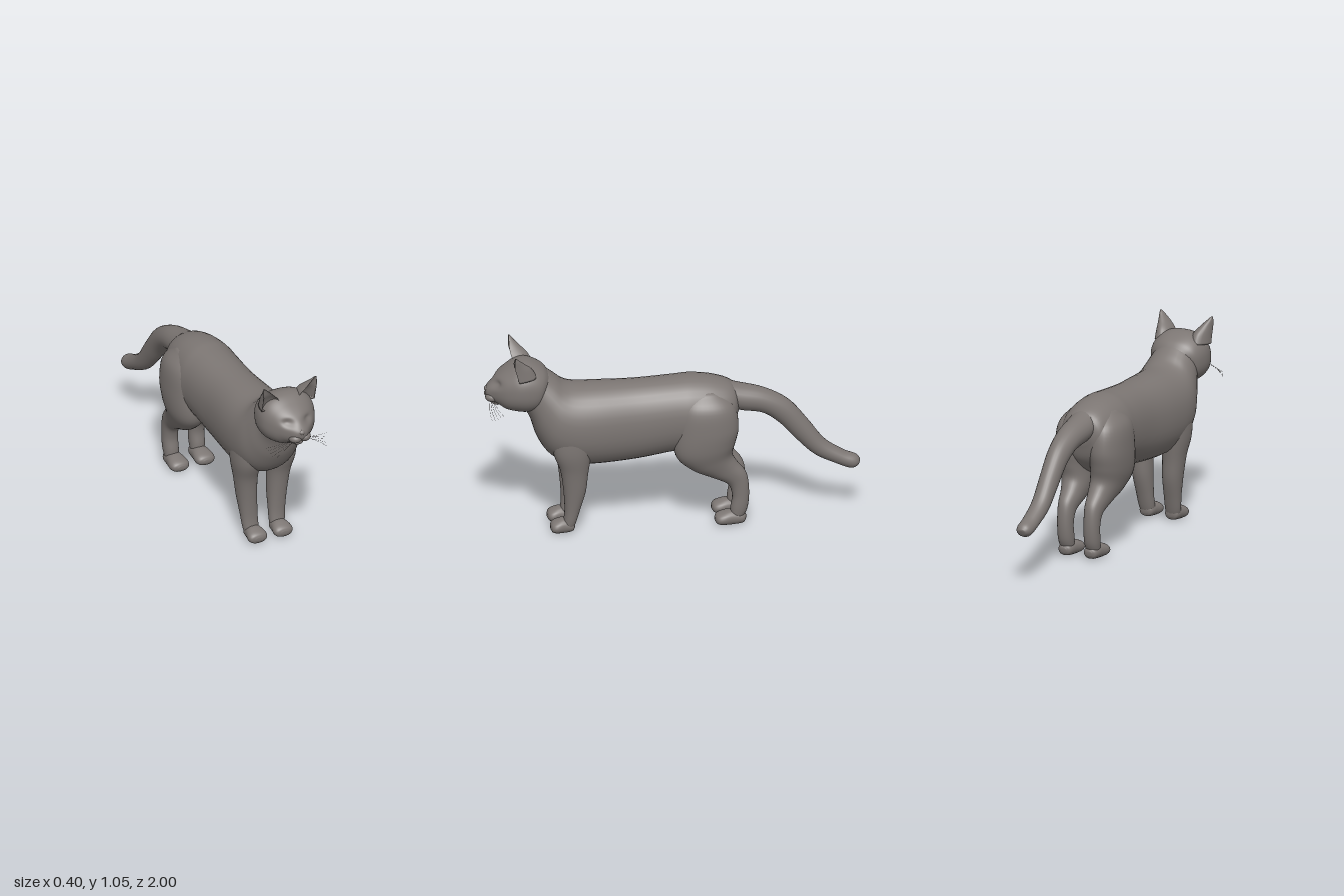
import * as THREE from 'three';

const fur = new THREE.MeshStandardMaterial({ color: 0x7c7673 });
fur.name = 'greyFur';

// Smooth skin through oval sections. Each section is
// [z1, y1, z2, y2, halfWidth, centreX]: two opposite outline points in side view.
function loft(name, sections, { side = 1, power = 0.92, hollow = 0, around = 36, steps = 6, warp } = {}) {
  const curve = (f) => new THREE.CatmullRomCurve3(sections.map(f), false, 'catmullrom', 0.5);
  const first = curve((s) => new THREE.Vector3(0, s[1], s[0]));
  const second = curve((s) => new THREE.Vector3(0, s[3], s[2]));
  const width = curve((s) => new THREE.Vector3(s[4], (s[5] || 0) * side, 0));
  const rows = (sections.length - 1) * steps;
  const bend = (v) => Math.sign(v) * Math.abs(v) ** power;
  const pos = [], index = [];
  const push = (v) => { if (warp) warp(v); pos.push(v.x, v.y, v.z); };
  for (let i = 0; i <= rows; i++) {
    const t = i / rows;
    const a = first.getPoint(t), b = second.getPoint(t), w = width.getPoint(t);
    const mid = a.clone().add(b).multiplyScalar(0.5);
    const half = a.sub(b).multiplyScalar(0.5);
    for (let j = 0; j < around; j++) {
      const q = (j / around) * Math.PI * 2;
      let s = bend(Math.sin(q));
      if (s < 0 && hollow) s *= -hollow;
      const p = mid.clone().addScaledVector(half, s);
      p.x = w.y + w.x * bend(Math.cos(q));
      push(p);
      if (i < rows) {
        const k = (j + 1) % around, r = i * around, n = r + around;
        index.push(r + j, r + k, n + j, r + k, n + k, n + j);
      }
    }
    if (i === 0 || i === rows) mid.x = w.y;
    if (i === 0) sections.start = mid;
    if (i === rows) sections.end = mid;
  }
  // End caps
  const c = (rows + 1) * around, last = rows * around;
  push(sections.start.clone());
  push(sections.end.clone());
  for (let j = 0; j < around; j++) {
    const k = (j + 1) % around;
    index.push(c, k, j, c + 1, last + j, last + k);
  }
  const g = new THREE.BufferGeometry();
  g.setAttribute('position', new THREE.Float32BufferAttribute(pos, 3));
  g.setIndex(index);
  g.computeVertexNormals();
  const mesh = new THREE.Mesh(g, fur);
  mesh.name = name;
  return mesh;
}

function ball(name, x, y, z, rx, ry, rz) {
  const mesh = new THREE.Mesh(new THREE.SphereGeometry(1, 24, 16), fur);
  mesh.position.set(x, y, z);
  mesh.scale.set(rx, ry, rz);
  mesh.name = name;
  return mesh;
}

const BODY = [
  [-0.355, 0.71, -0.345, 0.62, 0.06], [-0.32, 0.785, -0.31, 0.52, 0.125],
  [-0.22, 0.825, -0.22, 0.44, 0.16], [-0.1, 0.84, -0.08, 0.42, 0.172],
  [0, 0.835, 0, 0.42, 0.168], [0.2, 0.825, 0.2, 0.387, 0.165],
  [0.4, 0.825, 0.42, 0.372, 0.18], [0.52, 0.828, 0.55, 0.385, 0.185],
  [0.58, 0.845, 0.655, 0.44, 0.178], [0.63, 0.885, 0.722, 0.54, 0.155],
  [0.7, 0.935, 0.755, 0.64, 0.13], [0.76, 0.955, 0.79, 0.715, 0.125],
];
const HEAD = [
  [0.65, 0.89, 0.69, 0.75, 0.09], [0.69, 0.94, 0.73, 0.712, 0.138],
  [0.76, 0.975, 0.78, 0.698, 0.156], [0.82, 0.975, 0.84, 0.705, 0.153],
  [0.88, 0.942, 0.89, 0.718, 0.128], [0.93, 0.905, 0.925, 0.74, 0.096],
  [0.965, 0.865, 0.955, 0.757, 0.062], [0.988, 0.835, 0.982, 0.775, 0.034],
  [0.995, 0.82, 0.992, 0.79, 0.012],
];
const TAIL = [
  [-0.26, 0.66, -0.2, 0.825, 0.08], [-0.36, 0.63, -0.34, 0.783, 0.08],
  [-0.48, 0.605, -0.49, 0.742, 0.068], [-0.57, 0.54, -0.62, 0.668, 0.058],
  [-0.655, 0.445, -0.72, 0.55, 0.053], [-0.755, 0.348, -0.81, 0.43, 0.05],
  [-0.87, 0.288, -0.91, 0.36, 0.047], [-0.945, 0.258, -0.975, 0.332, 0.044],
  [-0.98, 0.267, -0.996, 0.31, 0.028], [-0.991, 0.28, -0.999, 0.3, 0.01],
];
const FRONT_LEG = [
  [0.65, 0.62, 0.42, 0.62, 0.06, 0.115], [0.645, 0.48, 0.44, 0.47, 0.072, 0.105],
  [0.607, 0.37, 0.458, 0.35, 0.06, 0.098], [0.59, 0.26, 0.47, 0.24, 0.054, 0.09],
  [0.582, 0.15, 0.5, 0.13, 0.047, 0.083], [0.585, 0.085, 0.52, 0.06, 0.044, 0.079],
  [0.595, 0.04, 0.535, 0.02, 0.038, 0.076],
];
const HIND_LEG = [
  [-0.08, 0.78, -0.24, 0.78, 0.05, 0.07], [-0.02, 0.7, -0.32, 0.7, 0.09, 0.095],
  [0, 0.57, -0.342, 0.58, 0.1, 0.1], [-0.005, 0.425, -0.325, 0.49, 0.094, 0.098],
  [-0.09, 0.335, -0.31, 0.42, 0.08, 0.086], [-0.2, 0.28, -0.335, 0.365, 0.062, 0.08],
  [-0.285, 0.235, -0.385, 0.295, 0.047, 0.079], [-0.31, 0.17, -0.4, 0.2, 0.042, 0.079],
  [-0.302, 0.1, -0.393, 0.1, 0.042, 0.078], [-0.3, 0.05, -0.365, 0.035, 0.036, 0.077],
];
const EAR = [
  [0.73, 0.92, 0.93, 0.9, 0.054, 0.104], [0.757, 0.97, 0.93, 0.95, 0.048, 0.109],
  [0.795, 1.005, 0.91, 0.99, 0.033, 0.125], [0.825, 1.033, 0.88, 1.03, 0.017, 0.142],
  [0.845, 1.054, 0.858, 1.052, 0.004, 0.153],
];

// Paw running from heel to toes
const paw = (heel, toe) => {
  const at = (t) => heel + (toe - heel) * t;
  return [
    [at(0), 0.05, at(0.02), 0.025, 0.015, 0.076], [at(0.1), 0.07, at(0.12), 0.008, 0.038, 0.076],
    [at(0.45), 0.083, at(0.45), 0.001, 0.047, 0.076], [at(0.75), 0.073, at(0.75), 0.002, 0.055, 0.076],
    [at(0.93), 0.06, at(0.92), 0.008, 0.046, 0.076], [at(1), 0.043, at(1), 0.024, 0.02, 0.076],
  ];
};

// Presses shallow eye sockets into the face
function sockets(v) {
  if (v.z < 0.8) return;
  const dx = (Math.abs(v.x) - 0.058) / 0.03, dy = (v.y - 0.868) / 0.02;
  v.z -= 0.02 * Math.exp(-dx * dx - dy * dy);
}

export function createModel() {
  const cat = new THREE.Group();
  cat.name = 'cat';
  cat.add(loft('body', BODY));
  cat.add(loft('tail', TAIL, { power: 1, around: 24 }));
  cat.add(loft('head', HEAD, { power: 0.85, around: 72, steps: 10, warp: sockets }));
  cat.add(ball('nose', 0, 0.822, 0.98, 0.02, 0.016, 0.02));
  cat.add(ball('chin', 0, 0.748, 0.927, 0.035, 0.02, 0.035));

  for (const side of [1, -1]) {
    const label = side > 0 ? 'left' : 'right';
    cat.add(loft(label + 'FrontLeg', FRONT_LEG, { side }));
    cat.add(loft(label + 'FrontPaw', paw(0.525, 0.656), { side, around: 24 }));
    cat.add(loft(label + 'HindLeg', HIND_LEG, { side }));
    cat.add(loft(label + 'HindPaw', paw(-0.385, -0.218), { side, around: 24 }));
    cat.add(loft(label + 'Ear', EAR, { side, power: 1, hollow: 0.35, around: 28 }));
    cat.add(ball(label + 'Muzzle', side * 0.026, 0.783, 0.956, 0.036, 0.027, 0.04));
    cat.add(ball(label + 'Eye', side * 0.058, 0.867, 0.897, 0.024, 0.013, 0.02));

    // Whiskers
    for (let i = 0; i < 5; i++) {
      const path = new THREE.QuadraticBezierCurve3(
        new THREE.Vector3(side * 0.04, 0.768 + 0.005 * (i % 3), 0.95 + 0.005 * i),
        new THREE.Vector3(side * 0.11, 0.755 - 0.004 * i, 0.95 + 0.01 * i),
        new THREE.Vector3(side * (0.185 - 0.008 * i), 0.738 - 0.011 * i, 0.915 + 0.014 * i),
      );
      const whisker = new THREE.Mesh(new THREE.TubeGeometry(path, 8, 0.0006, 4), fur);
      whisker.name = label + 'Whisker';
      cat.add(whisker);
    }
  }
  return cat;
}
